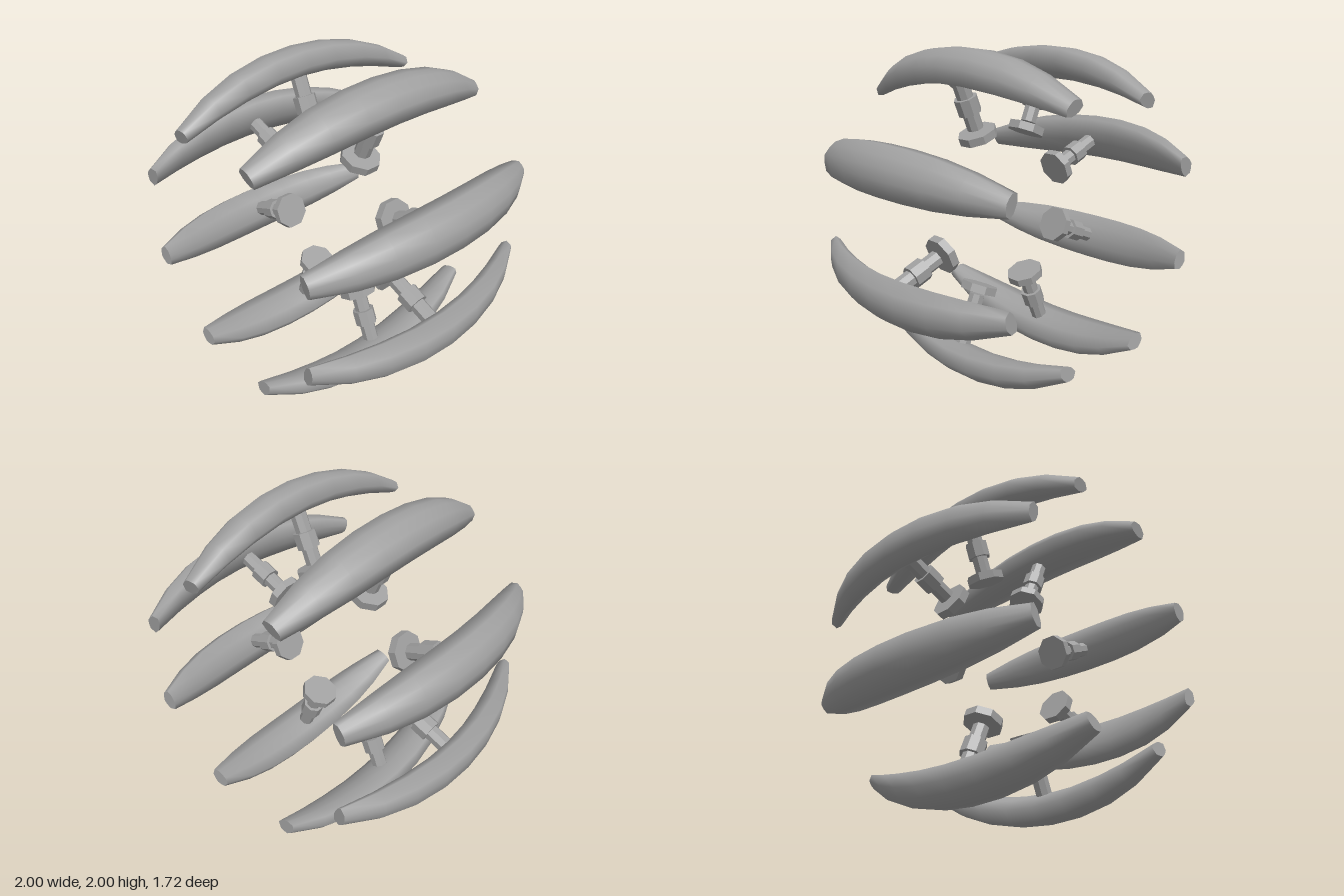
import * as THREE from 'three';

const grey = new THREE.MeshStandardMaterial({ color: 0xa0a0a0 });
grey.name = 'plain grey';

// Half cross-section of the curved handle: [sideways, outwards]
const half = [[0, 0.1], [-0.065, 0.081], [-0.13, 0.046], [-0.15, -0.044], [-0.07, -0.085], [0, -0.09]];
const section = [...half, ...half.slice(1, -1).reverse().map(([x, y]) => [-x, y])];

// Stations along the handle: [distance from the middle, size]
const stations = [[0, 1], [0.217, 0.98], [0.44, 0.9], [0.64, 0.73], [0.851, 0.43]];
const rings = [...stations.slice(1).reverse().map(([z, s]) => [-z, s]), ...stations];

const ARC = 1.92; // bend radius of the handle
const MIDDLE = 0.974; // distance of its middle from the hub axis

function ringPoints([z, s]) {
  const y = MIDDLE - ARC + Math.sqrt(ARC * ARC - z * z);
  return section.map(([px, py]) => [px * s, y + py * s, z + py * s * 0.22 * (z / 0.85)]);
}

// Smooth swept skin with flat, sharply edged ends
function handleGeometry() {
  const n = section.length;
  const loops = rings.map(ringPoints);
  const first = loops[0], last = loops[loops.length - 1];
  const positions = [...loops, first, last].flat(2);
  const index = [];
  for (let i = 0; i < loops.length - 1; i++) {
    for (let j = 0; j < n; j++) {
      const k = (j + 1) % n;
      const a = i * n + j, b = i * n + k, c = b + n, d = a + n;
      index.push(a, b, c, a, c, d);
    }
  }
  const back = loops.length * n, front = back + n;
  for (let j = 1; j < n - 1; j++) {
    index.push(back, back + j + 1, back + j);
    index.push(front, front + j, front + j + 1);
  }
  const g = new THREE.BufferGeometry();
  g.setAttribute('position', new THREE.Float32BufferAttribute(positions, 3));
  g.setIndex(index);
  g.computeVertexNormals();
  return g;
}

// Octagonal rod between two distances, with flat sides facing front and back
function octagon(apothem, from, to) {
  const r = apothem / Math.cos(Math.PI / 8);
  const g = new THREE.CylinderGeometry(r, r, to - from, 8, 1, false, Math.PI / 8);
  g.translate(0, (from + to) / 2, 0);
  const flat = g.toNonIndexed();
  flat.computeVertexNormals();
  return flat;
}

export function createModel() {
  const model = new THREE.Group();
  model.name = 'radialHandles';
  const parts = {
    curvedHandle: handleGeometry(),
    stem: octagon(0.047, 0.568, 0.9),
    collar: octagon(0.066, 0.67, 0.77),
    footPlate: octagon(0.111, 0.5, 0.55),
  };
  // Eight identical arms around the hub axis
  for (let i = 0; i < 8; i++) {
    const arm = new THREE.Group();
    arm.name = `arm${i + 1}`;
    for (const [name, geometry] of Object.entries(parts)) {
      const mesh = new THREE.Mesh(geometry, grey);
      mesh.name = name;
      arm.add(mesh);
    }
    arm.position.y = 1;
    arm.rotation.z = (i + 0.5) * Math.PI / 4;
    model.add(arm);
  }
  return model;
}
